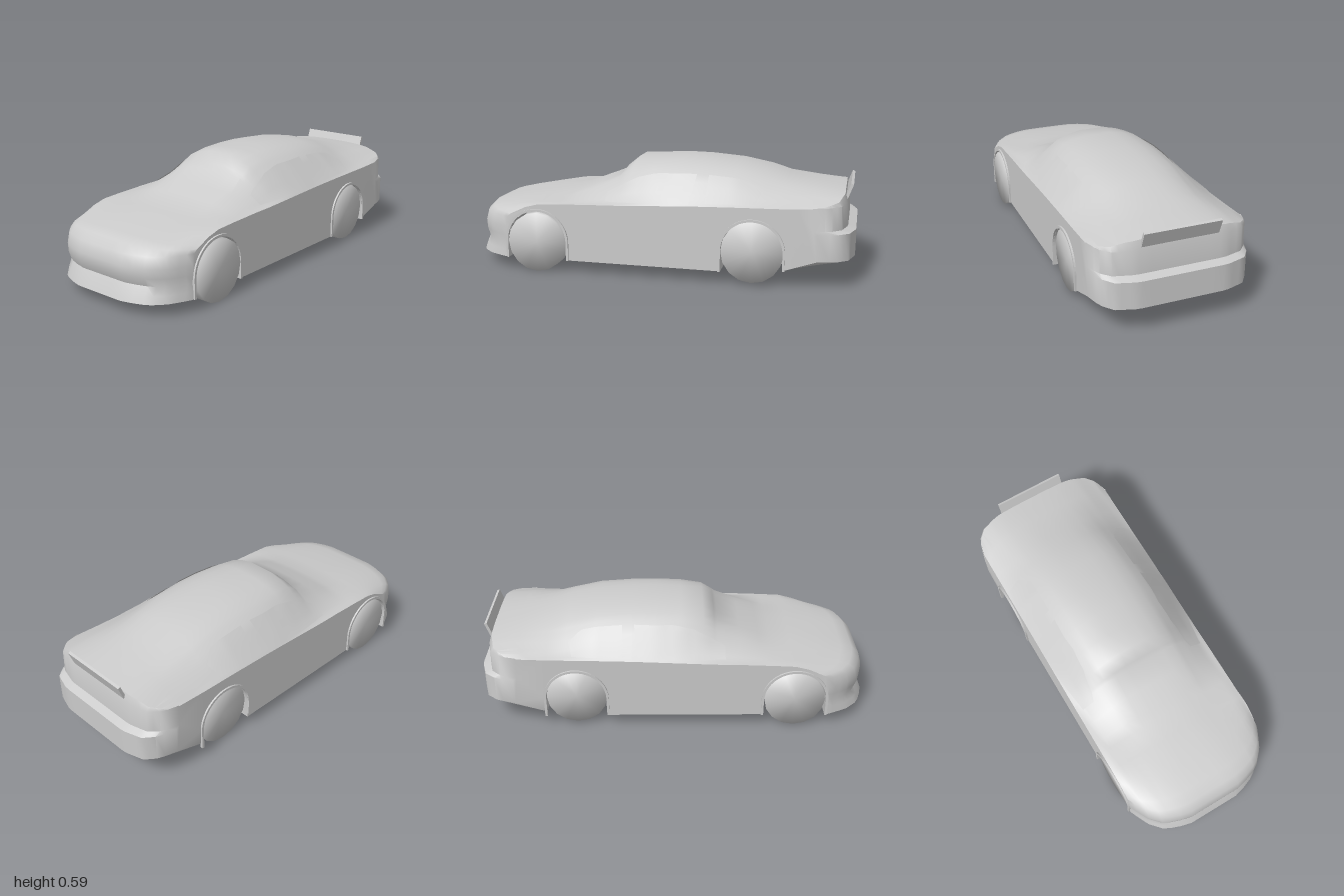
import * as THREE from 'three';
import { mergeGeometries, mergeVertices, toCreasedNormals } from 'three/addons/utils/BufferGeometryUtils.js';

const material = new THREE.MeshStandardMaterial({ color: 0xcccccc });
const thin = new THREE.MeshStandardMaterial({ color: 0xcccccc, side: THREE.DoubleSide });
const HALF = 0.39, TUNNEL = 0.255, FLOOR = 0.067;

// Upper surface: z, then heights at x = 0, .2, .26, .36, .39
const TOP = [
  [0.93, 0.322, 0.32, 0.316, 0.305, 0.3],
  [0.87, 0.336, 0.333, 0.329, 0.318, 0.312],
  [0.75, 0.357, 0.353, 0.349, 0.343, 0.338],
  [0.6, 0.377, 0.371, 0.367, 0.361, 0.356],
  [0.49, 0.39, 0.38, 0.375, 0.367, 0.362],
  [0.43, 0.412, 0.402, 0.388, 0.368, 0.364],
  [0.33, 0.45, 0.438, 0.415, 0.372, 0.368],
  [0.215, 0.497, 0.485, 0.45, 0.38, 0.37],
  [0.198, 0.527, 0.498, 0.458, 0.382, 0.371],
  [0.14, 0.574, 0.535, 0.485, 0.388, 0.373],
  [0.03, 0.58, 0.553, 0.512, 0.405, 0.378],
  [-0.1, 0.588, 0.559, 0.523, 0.417, 0.384],
  [-0.22, 0.585, 0.558, 0.523, 0.419, 0.389],
  [-0.4, 0.57, 0.545, 0.508, 0.419, 0.394],
  [-0.55, 0.544, 0.512, 0.476, 0.412, 0.397],
  [-0.65, 0.51, 0.486, 0.46, 0.411, 0.399],
  [-0.8, 0.482, 0.47, 0.457, 0.417, 0.402],
  [-0.94, 0.461, 0.454, 0.447, 0.42, 0.405],
];
const NOSE = [[1, FLOOR], [0.985, 0.105], [0.965, 0.145], [0.982, 0.185], [0.985, 0.23], [0.968, 0.285]];
const TAIL = [[-0.955, 0.41], [-0.96, 0.295], [-1, 0.28], [-1, 0.145]];
// Plan outline of the two ends: x, distance from the centre
const FRONT_PLAN = [[0, 1], [0.16, 1], [0.28, 0.955], [0.34, 0.89], [0.37, 0.83], [0.39, 0.785]];
const REAR_PLAN = [[0, 1], [0.22, 1], [0.32, 0.97], [0.36, 0.92], [0.38, 0.87], [0.39, 0.82]];
const ARCHES = [
  { name: 'rear', z: -0.507, y: 0.175, r: 0.153, feet: [0.09, FLOOR], wheelX: 0.325 },
  { name: 'front', z: 0.608, y: 0.162, r: 0.158, feet: [FLOOR, FLOOR], wheelX: 0.342 },
];

// Piecewise linear lookup in [key, value] pairs with rising keys
function lookup(pairs, k) {
  let i = 1;
  while (i < pairs.length - 1 && pairs[i][0] < k) i++;
  const [a, b] = [pairs[i - 1], pairs[i]];
  const t = THREE.MathUtils.clamp((k - a[0]) / (b[0] - a[0]), 0, 1);
  return a[1] + (b[1] - a[1]) * t;
}

// Height of one row across the car, with a softly crowned middle
function rowHeight(row, x) {
  const [, a, b, c, d, e] = row;
  return lookup([[0, a], [0.07, a], [0.14, a - (a - b) * 0.4], [0.2, b], [0.26, c], [0.36, d], [0.39, e]], Math.abs(x));
}
const topHeight = (x, z) => lookup(TOP.map(r => [r[0], rowHeight(r, x)]).reverse(), z);

// Pull the ends in so that the corners are rounded in plan
function roundEnd(x, z) {
  if (z > 0.6) return 0.6 + (z - 0.6) * (lookup(FRONT_PLAN, Math.abs(x)) - 0.6) / 0.4;
  if (z < -0.66) return -0.66 + (z + 0.66) * (lookup(REAR_PLAN, Math.abs(x)) - 0.66) / 0.34;
  return z;
}

// Closed lengthwise outline of the body at a given x, as [z, y] pairs
function outline(x) {
  const pts = [...NOSE, ...TOP.map(r => [r[0], rowHeight(r, x)]), ...TAIL].map(([z, y]) => [roundEnd(x, z), y]);
  for (const { z, y, r, feet } of ARCHES) {
    pts.push([z - r, feet[0]]);
    for (let i = 0; i <= 12; i++) {
      const a = Math.PI * (1 - i / 12);
      const low = feet[0] + (feet[1] - feet[0]) * i / 12;
      pts.push([z + r * Math.cos(a) * 0.9999, Math.abs(x) > TUNNEL ? y + r * Math.sin(a) : low]);
    }
    pts.push([z + r, feet[1]]);
  }
  return pts;
}

// Shell lofted across the car, with a flat panel closing each side
function bodyGeometry() {
  const half = [0, 0.07, 0.14, 0.2, 0.23, TUNNEL, TUNNEL + 0.001, 0.29, 0.32, 0.34, 0.36, 0.375, HALF];
  const xs = [...half.slice(1).reverse().map(x => -x), ...half];
  const pos = [], index = [];
  const n = outline(0).length;
  xs.forEach((x, j) => {
    for (const [z, y] of outline(x)) pos.push(x, y, z);
    if (j === xs.length - 1) return;
    for (let i = 0; i < n; i++) {
      const a = j * n + i, b = j * n + (i + 1) % n;
      index.push(a, a + n, b, b, a + n, b + n);
    }
  });
  const shell = new THREE.BufferGeometry();
  shell.setAttribute('position', new THREE.Float32BufferAttribute(pos, 3));
  shell.setIndex(index);
  const parts = [shell.toNonIndexed()];
  for (const s of [-1, 1]) {
    const shape = new THREE.Shape(outline(HALF).map(([z, y]) => new THREE.Vector2(-s * z, y)));
    const side = new THREE.ShapeGeometry(shape).rotateY(s * Math.PI / 2).translate(s * HALF, 0, 0).toNonIndexed();
    side.deleteAttribute('uv');
    side.deleteAttribute('normal');
    parts.push(side);
  }
  return toCreasedNormals(mergeGeometries(parts), 0.7);
}

// Raised lip around a wheel opening
function lipGeometry({ z, y, r, feet }) {
  const R = r + 0.012, s = new THREE.Shape();
  s.moveTo(-z - R, feet[1]);
  s.lineTo(-z - R, y);
  s.absarc(-z, y, R, Math.PI, 0, true);
  s.lineTo(-z + R, feet[0]);
  s.lineTo(-z + r, feet[0]);
  s.lineTo(-z + r, y);
  s.absarc(-z, y, r, 0, Math.PI, false);
  s.lineTo(-z - r, feet[1]);
  return new THREE.ExtrudeGeometry(s, { depth: 0.014, bevelEnabled: false, curveSegments: 12 })
    .rotateY(Math.PI / 2).translate(0.385, 0, 0);
}

// Wheel drum with shared corner normals for a soft, domed look
function wheelGeometry() {
  const g = new THREE.CylinderGeometry(0.155, 0.155, 0.1, 16).rotateZ(Math.PI / 2);
  g.deleteAttribute('uv');
  g.deleteAttribute('normal');
  const welded = mergeVertices(g, 1e-4);
  welded.computeVertexNormals();
  return welded;
}

// Side window laid over the cabin, between an upper and a lower edge
function windowGeometry(upper, lower, s) {
  const g = new THREE.PlaneGeometry(1, 1, 12, 5), p = g.attributes.position;
  for (let i = 0; i < p.count; i++) {
    const u = p.getX(i) + 0.5, v = p.getY(i) + 0.5;
    const at = e => lookup(e.map(([z, y]) => [z, y]), e[0][0] + (e[e.length - 1][0] - e[0][0]) * u);
    const zAt = e => e[0][0] + (e[e.length - 1][0] - e[0][0]) * u;
    const y = at(lower) + (at(upper) - at(lower)) * v;
    const z = zAt(lower) + (zAt(upper) - zAt(lower)) * v;
    let a = 0.15, b = HALF;
    for (let k = 0; k < 20; k++) {
      const m = (a + b) / 2;
      if (topHeight(m, z) > y) a = m; else b = m;
    }
    p.setXYZ(i, s * (a + 0.004), y + 0.003, z);
  }
  g.computeVertexNormals();
  return g;
}

export function createModel() {
  const car = new THREE.Group();
  car.name = 'car';
  const add = (name, geometry, mat = material) => {
    const mesh = new THREE.Mesh(geometry, mat);
    mesh.name = name;
    car.add(mesh);
    return mesh;
  };
  add('body', bodyGeometry());

  for (const s of [-1, 1]) {
    const side = s > 0 ? 'Left' : 'Right';
    for (const arch of ARCHES) {
      add(arch.name + side + 'Wheel', wheelGeometry()).position.set(s * arch.wheelX + 0.006, arch.y - 0.005, arch.z);
      const lip = lipGeometry(arch);
      if (s < 0) lip.rotateY(Math.PI).translate(0, 0, 2 * arch.z);
      add(arch.name + side + 'ArchLip', lip);
    }
    add('front' + side + 'Window', windowGeometry(
      [[-0.21, 0.525], [0, 0.52], [0.1, 0.495], [0.25, 0.42]], [[-0.19, 0.393], [0.25, 0.38]], s), thin);
    add('rear' + side + 'Window', windowGeometry(
      [[-0.54, 0.45], [-0.48, 0.495], [-0.4, 0.512], [-0.27, 0.522]], [[-0.52, 0.407], [-0.27, 0.4]], s), thin);
  }

  // Tail spoiler blade, leaning back
  const spoiler = add('spoiler', new THREE.BoxGeometry(0.38, 0.085, 0.014));
  spoiler.position.set(0, 0.457, -0.957);
  spoiler.rotation.x = -0.35;
  return car;
}
